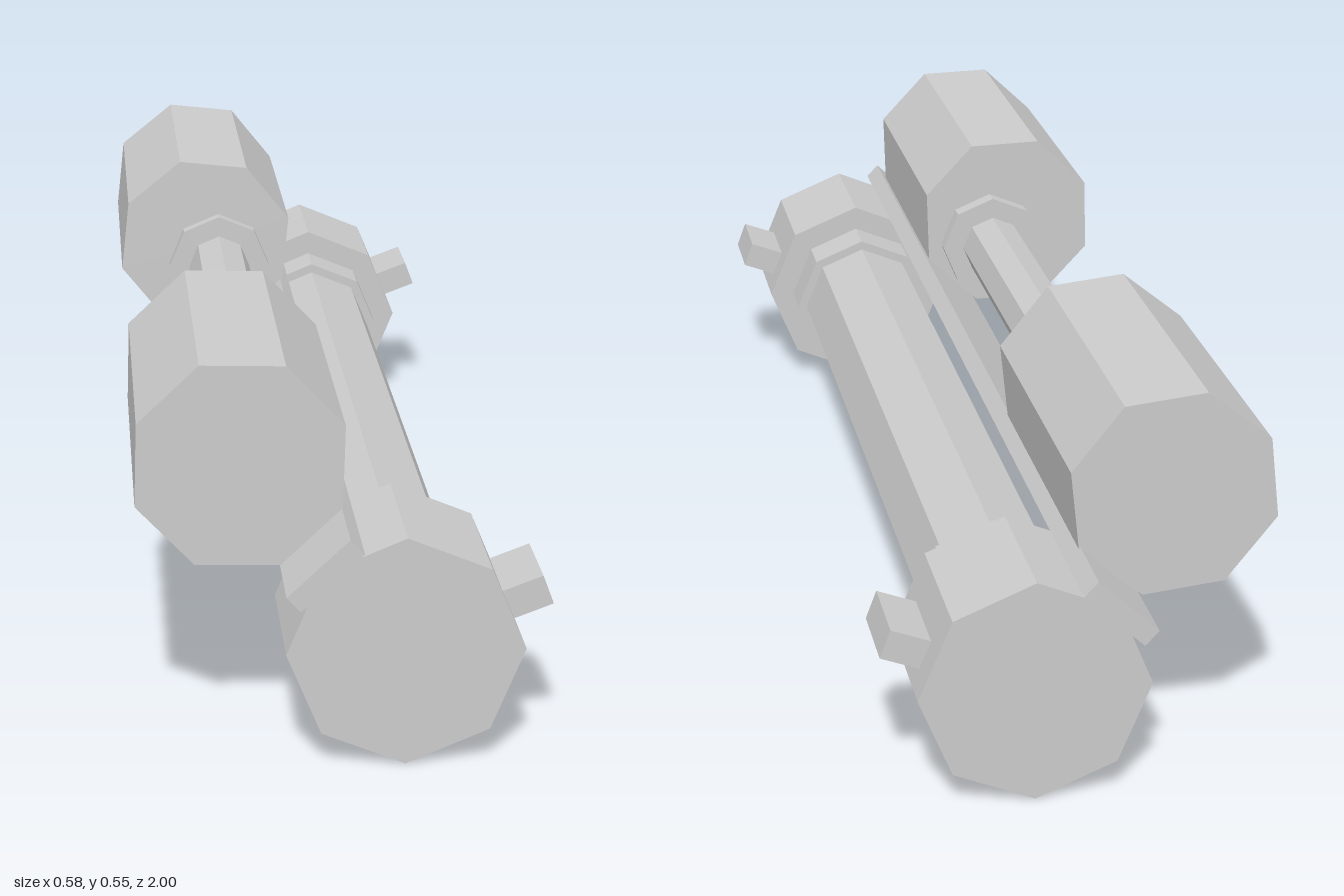
import * as THREE from 'three';

const material = new THREE.MeshStandardMaterial({ color: 0xcccccc, flatShading: true });

export function createModel() {
  const group = new THREE.Group();

  const add = (name, geometry, x, y, z) => {
    const mesh = new THREE.Mesh(geometry, material);
    mesh.name = name;
    mesh.position.set(x, y, z);
    group.add(mesh);
  };

  // Octagonal bar along z, from z0 to z1; turn is the angle of its first corner
  const octagon = (name, x, y, radius, z0, z1, turn = 0) => {
    const geometry = new THREE.CylinderGeometry(radius, radius, z1 - z0, 8);
    geometry.rotateX(Math.PI / 2).rotateZ(THREE.MathUtils.degToRad(turn));
    add(name, geometry, x, y, (z0 + z1) / 2);
  };

  // Box with its cross-section tilted about z
  const tiltedBox = (name, w, h, d, x, y, z, tilt) => {
    const geometry = new THREE.BoxGeometry(w, h, d);
    geometry.rotateZ(THREE.MathUtils.degToRad(tilt));
    add(name, geometry, x, y, z);
  };

  // Large lower tube with stepped collars and end caps
  const lx = 0.078, ly = 0.166;
  octagon('lowerTube', lx, ly, 0.107, -0.66, 0.67);
  octagon('lowerFrontCollar', lx, ly, 0.123, 0.67, 0.75);
  octagon('lowerBackCollar', lx, ly, 0.123, -0.745, -0.66);
  octagon('lowerFrontCap', lx, ly, 0.165, 0.75, 0.98);
  octagon('lowerBackCap', lx, ly, 0.165, -0.975, -0.745);

  // Blocks standing out from the caps
  for (const [name, z] of [['frontLug', 0.865], ['backLug', -0.86]]) {
    tiltedBox(name, 0.1, 0.044, 0.13, 0.233, 0.215, z, 20.5);
  }

  // Thin mounting rail between the two tubes
  tiltedBox('rail', 0.118, 0.029, 2, -0.035, 0.287, 0, 43);

  // Slim upper tube with collars and two heavy, slightly offset ends
  const ux = -0.112, uy = 0.372;
  octagon('upperTube', ux, uy, 0.053, -0.345, 0.35);
  octagon('upperFrontCollar', ux, uy, 0.088, 0.35, 0.38);
  octagon('upperBackCollar', ux, uy, 0.088, -0.375, -0.345);
  octagon('upperFrontEnd', -0.1435, 0.4085, 0.155, 0.38, 0.89, 20.8);
  octagon('upperBackEnd', -0.1355, 0.407, 0.155, -0.885, -0.37, 16.3);

  return group;
}
